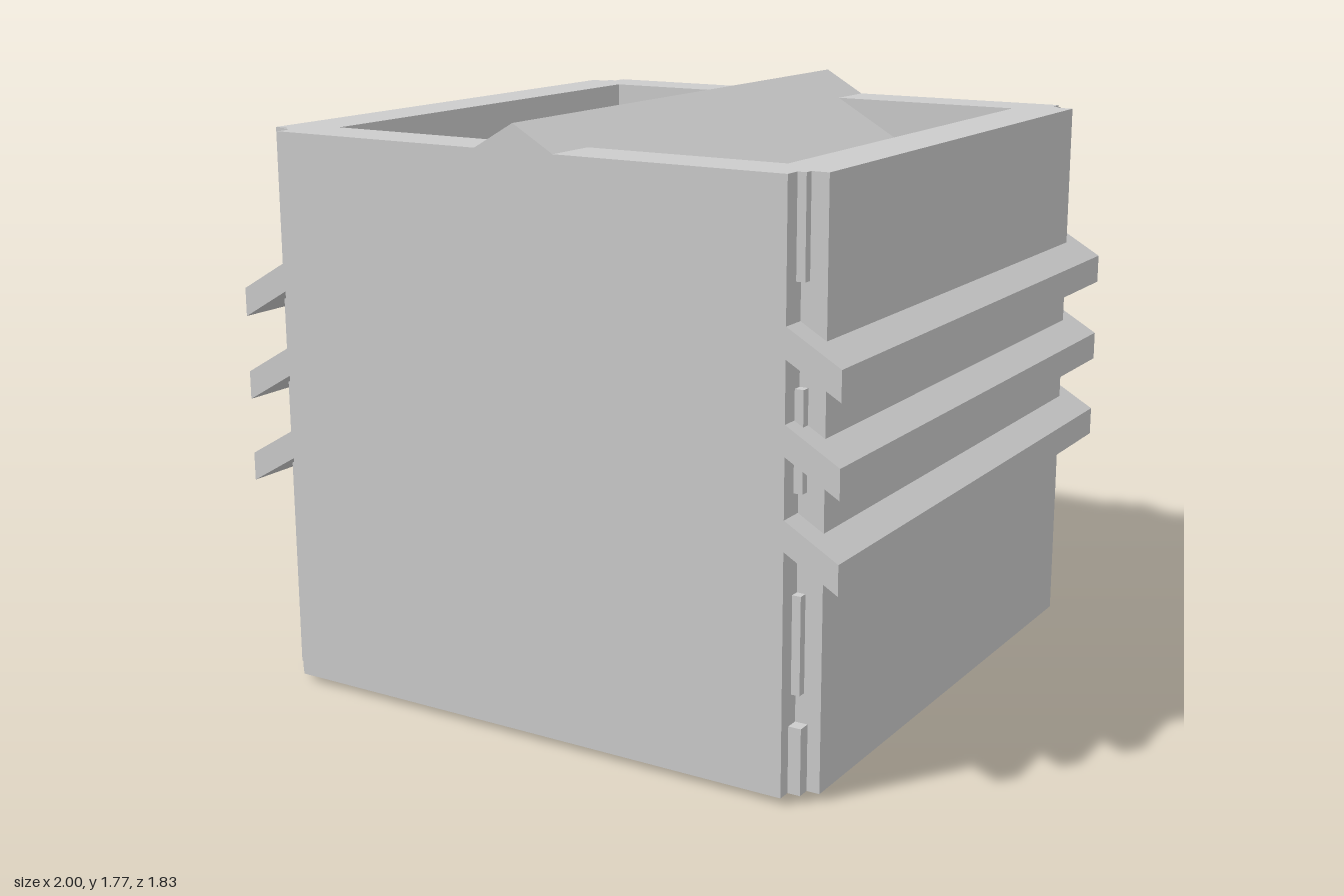
import * as THREE from 'three';

const mat = new THREE.MeshStandardMaterial({ color: 0xcccccc, flatShading: true });

function add(parent, name, geo) {
  const mesh = new THREE.Mesh(geo, mat);
  mesh.name = name;
  parent.add(mesh);
  return mesh;
}

// Box given by its minimum and maximum corners
function boxBetween(a, b) {
  const geo = new THREE.BoxGeometry(b[0] - a[0], b[1] - a[1], b[2] - a[2]);
  return geo.translate((a[0] + b[0]) / 2, (a[1] + b[1]) / 2, (a[2] + b[2]) / 2);
}

const shapeOf = (pts) => new THREE.Shape(pts.map(([x, y]) => new THREE.Vector2(x, y)));
const square = (h) => [[-h, -h], [h, -h], [h, h], [-h, h]];

// Plan shape raised from y0 to y1, with an optional square hole
function slab(pts, y0, y1, hole) {
  const shape = shapeOf(pts);
  if (hole) shape.holes.push(shapeOf(square(hole)));
  const geo = new THREE.ExtrudeGeometry(shape, { depth: y1 - y0, bevelEnabled: false });
  return geo.rotateX(-Math.PI / 2).translate(0, y0, 0);
}

// Front profile stretched from z0 to z1
function alongZ(pts, z0, z1) {
  const geo = new THREE.ExtrudeGeometry(shapeOf(pts), { depth: z1 - z0, bevelEnabled: false });
  return geo.translate(0, 0, z0);
}

export function createModel() {
  const model = new THREE.Group();
  model.name = 'louveredBox';
  const W = 0.917, C = 0.84, H = 1.7, RIDGE = 1.775, OPEN = 0.75;
  const slope = Math.tan(Math.PI / 6);

  // Hollow body with a notch at every corner
  const plan = [
    [-C, -W], [C, -W], [C, -C], [W, -C], [W, C], [C, C],
    [C, W], [-C, W], [-C, C], [-W, C], [-W, -C], [-C, -C],
  ];
  add(model, 'bodyWalls', slab(plan, 0.06, H, OPEN));
  add(model, 'bottomSkirt', slab(plan, 0.02, 0.06, 0.82));

  // Pitched roof sunk into the top opening
  const eave = RIDGE - OPEN * slope;
  add(model, 'roof', alongZ(
    [[-OPEN, 1.25], [OPEN, 1.25], [OPEN, eave], [0, RIDGE], [-OPEN, eave]], -OPEN, OPEN));

  // Ridge ends running out over the rim
  const r = (RIDGE - H) / slope;
  const ridge = [[-r, H], [r, H], [0, RIDGE]];
  add(model, 'frontRidgeEnd', alongZ(ridge, OPEN, W));
  add(model, 'backRidgeEnd', alongZ(ridge, -W, -OPEN));

  // Three sloping louvers on each side
  for (const top of [1.313, 1.056, 0.8]) {
    const drop = 0.16 * slope, t = 0.086;
    const profile = [[C, top - t], [1, top - t - drop], [1, top - drop], [C, top]];
    const mirrored = profile.map(([x, y]) => [-x, y]).reverse();
    add(model, 'leftLouver', alongZ(profile, -W, W));
    add(model, 'rightLouver', alongZ(mirrored, -W, W));
  }

  // Corner strips and feet inside the notches
  for (const sx of [-1, 1]) for (const sz of [-1, 1]) {
    const corner = new THREE.Group();
    corner.name = 'cornerTrim';
    const post = (name, y0, y1, reach) => {
      const s = reach - 0.83, m = (reach + 0.83) / 2;
      add(corner, name, new THREE.BoxGeometry(s, y1 - y0, s))
        .position.set(sx * m, (y0 + y1) / 2, sz * m);
    };
    for (const y of [0.3, 0.86, 1.42]) post('cornerStrip', y, y + 0.28, 0.866);
    post('cornerFoot', 0.02, 0.213, 0.878);
    model.add(corner);
  }

  // Recessed floor with a chamfered grip
  add(model, 'floor', boxBetween([-0.82, 0.055, -0.82], [0.82, 0.08, 0.82]));
  const a = 0.13, b = 0.29, c = 0.04;
  add(model, 'floorGrip', slab([
    [-a + c, -b], [a - c, -b], [a, -b + c], [a, b - c],
    [a - c, b], [-a + c, b], [-a, b - c], [-a, -b + c],
  ], 0.015, 0.055));

  // Bottom lip, slightly tilted towards the left back corner
  const lip = slab(square(C), 0, 0.025, 0.82);
  const p = lip.attributes.position;
  for (let i = 0; i < p.count; i++) {
    if (p.getY(i) < 0.01) p.setY(i, 0.01 * (1 - (p.getX(i) - p.getZ(i)) / (2 * C)));
  }
  lip.computeVertexNormals();
  add(model, 'bottomLip', lip);

  return model;
}
